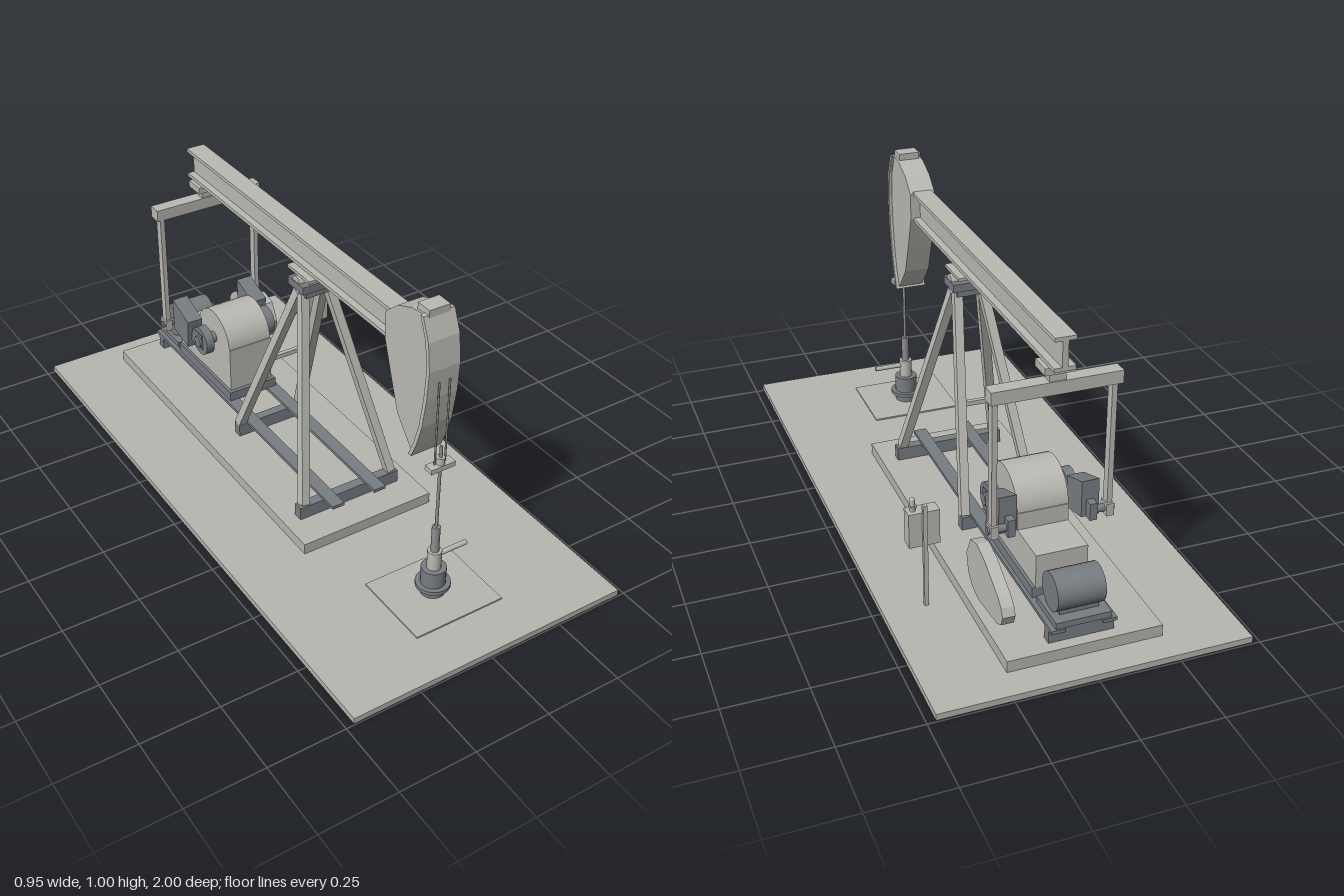
import * as THREE from 'three';

const mat = (name, color) => {
  const m = new THREE.MeshStandardMaterial({ color });
  m.name = name;
  return m;
};

export function createModel() {
  const model = new THREE.Group();
  model.name = 'pumpJack';
  const concrete = mat('concrete', 0xb7b5b0);
  const steel = mat('lightSteel', 0xbab9b3);
  const dark = mat('darkSteel', 0x787d82);
  const rodSteel = mat('rodSteel', 0x8c8d8c);

  const add = (name, geo, m) => {
    const mesh = new THREE.Mesh(geo, m);
    mesh.name = name;
    model.add(mesh);
    return mesh;
  };
  // box given by its limits on each axis
  const box = (name, m, x0, x1, y0, y1, z0, z1) => {
    const b = add(name, new THREE.BoxGeometry(x1 - x0, y1 - y0, z1 - z0), m);
    b.position.set((x0 + x1) / 2, (y0 + y1) / 2, (z0 + z1) / 2);
    return b;
  };
  // square bar between two points, tilted from upright without twisting
  const bar = (name, m, a, b, w) => {
    const p = new THREE.Vector3(...a), q = new THREE.Vector3(...b);
    const s = add(name, new THREE.BoxGeometry(w, p.distanceTo(q), w), m);
    s.position.copy(p).lerp(q, 0.5);
    s.quaternion.setFromUnitVectors(new THREE.Vector3(0, 1, 0), q.sub(p).normalize());
  };
  // upright cylinder
  const cylY = (name, m, r, y0, y1, x, z, n = 20) => {
    const c = add(name, new THREE.CylinderGeometry(r, r, y1 - y0, n), m);
    c.position.set(x, (y0 + y1) / 2, z);
  };
  // cylinder lying along x
  const cylX = (name, m, r, x0, x1, y, z, n = 24) => {
    const c = add(name, new THREE.CylinderGeometry(r, r, Math.abs(x1 - x0), n), m);
    c.rotation.z = Math.PI / 2;
    c.position.set((x0 + x1) / 2, y, z);
  };
  // side profile of [z, y] points, extruded across x
  const profile = (name, m, pts, x0, x1) => {
    const shape = new THREE.Shape(pts.map(p => new THREE.Vector2(...p)));
    const geo = new THREE.ExtrudeGeometry(shape, { depth: x1 - x0, bevelEnabled: false });
    add(name, geo.translate(0, 0, -x1).rotateY(-Math.PI / 2), m);
  };

  // ground pads
  box('groundPad', concrete, -0.475, 0.475, 0.005, 0.025, -1, 1);
  box('wellPad', concrete, -0.155, 0.155, 0, 0.03, 0.58, 0.845);
  box('foundation', concrete, -0.237, 0.237, 0.025, 0.062, -0.905, 0.365);

  // skid
  box('frontCrossBeam', dark, -0.185, 0.185, 0.062, 0.106, 0.225, 0.258);
  box('middleCrossBeam', dark, -0.13, 0.13, 0.062, 0.106, -0.253, -0.222);
  box('rearCrossBeam', dark, -0.1, 0.1, 0.062, 0.106, -0.87, -0.84);

  // walking beam
  box('beamWeb', steel, -0.009, 0.009, 0.82, 0.905, -0.705, 0.49);
  box('beamTopFlange', steel, -0.032, 0.032, 0.902, 0.914, -0.705, 0.49);
  box('beamBottomFlange', steel, -0.032, 0.032, 0.812, 0.824, -0.705, 0.49);

  // horsehead with its wider curved face
  const arc = [[0.637, 0.51], [0.66, 0.565], [0.68, 0.635], [0.695, 0.735],
    [0.701, 0.83], [0.69, 0.92], [0.662, 0.988]];
  profile('horsehead', steel, [[0.477, 0.82], [0.515, 0.705], [0.55, 0.605], [0.6, 0.545],
    ...arc.map(([z, y]) => [z - 0.004, y]), [0.595, 0.98], [0.53, 0.953], [0.477, 0.908]], -0.042, 0.042);
  profile('horseheadFace', steel,
    [...arc, ...arc.map(([z, y]) => [z - 0.014, y]).reverse()], -0.052, 0.052);
  box('horseheadCap', steel, -0.035, 0.035, 0.975, 1.004, 0.612, 0.665);

  // saddle bearing on top of the tower
  box('saddlePlate', steel, -0.055, 0.055, 0.802, 0.812, -0.025, 0.1);
  box('towerCap', dark, -0.05, 0.05, 0.738, 0.758, 0, 0.076);
  box('bearingBlock', dark, -0.065, 0.065, 0.758, 0.784, -0.006, 0.082);
  cylX('saddleShaft', steel, 0.02, -0.063, 0.063, 0.783, 0.038);

  // hanger, polished rod and wellhead
  const wz = 0.707;
  box('carrierBar', steel, -0.042, 0.042, 0.494, 0.51, wz - 0.016, wz + 0.016);
  cylY('rodClamp', steel, 0.013, 0.51, 0.532, 0, wz);
  cylY('polishedRod', rodSteel, 0.005, 0.18, 0.57, 0, wz, 12);
  cylY('rodSleeve', rodSteel, 0.013, 0.18, 0.278, 0, wz);
  cylY('stuffingBox', steel, 0.022, 0.12, 0.187, 0, wz);
  cylY('casingHead', dark, 0.039, 0.03, 0.124, 0, wz);
  cylY('casingFlange', dark, 0.054, 0.055, 0.068, 0, wz);
  cylX('flowLine', steel, 0.008, 0, 0.115, 0.166, wz, 14);

  // gearbox
  box('gearboxBase', dark, -0.09, 0.09, 0.112, 0.148, -0.725, -0.352);
  box('gearboxBody', steel, -0.08, 0.08, 0.148, 0.31, -0.585, -0.365);
  box('gearboxRear', steel, -0.08, 0.08, 0.148, 0.255, -0.725, -0.585);
  cylX('gearboxDrum', steel, 0.108, -0.08, 0.08, 0.303, -0.475, 32);
  cylX('crankShaft', dark, 0.02, -0.145, 0.145, 0.31, -0.475);

  // motor and belt guard
  box('motorBase', dark, -0.085, 0.085, 0.115, 0.135, -0.885, -0.745);
  box('motorFoot', dark, -0.06, 0.06, 0.135, 0.165, -0.85, -0.78);
  cylX('motor', dark, 0.058, -0.073, 0.073, 0.192, -0.812, 28);
  profile('beltGuard', steel, [[-0.61, 0.275], [-0.66, 0.29], [-0.72, 0.275], [-0.825, 0.222],
    [-0.85, 0.2], [-0.862, 0.175], [-0.85, 0.145], [-0.82, 0.13], [-0.675, 0.112],
    [-0.625, 0.125], [-0.592, 0.155], [-0.578, 0.212]], 0.196, 0.234);

  // equalizer
  box('equalizer', steel, -0.196, 0.196, 0.722, 0.762, -0.665, -0.62);
  box('equalizerBearing', steel, -0.025, 0.025, 0.762, 0.795, -0.66, -0.625);
  box('equalizerPlate', steel, -0.045, 0.045, 0.79, 0.812, -0.675, -0.605);

  // parts mirrored left and right
  for (const s of [-1, 1]) {
    const span = (a, b) => (s > 0 ? [a, b] : [-b, -a]);
    box('skidRail', dark, ...span(0.057, 0.1), 0.104, 0.115, -0.89, 0.312);
    bar('frontLeg', steel, [s * 0.163, 0.106, 0.242], [s * 0.045, 0.742, 0.05], 0.028);
    bar('rearLeg', steel, [s * 0.117, 0.106, -0.238], [s * 0.042, 0.742, 0.025], 0.028);
    cylY('bridleCable', rodSteel, 0.003, 0.51, 0.79, s * 0.018, wz - 0.003, 8);

    cylX('shaftHub', dark, 0.05, s * 0.105, s * 0.135, 0.31, -0.475);
    box('crankArm', dark, ...span(0.115, 0.138), 0.285, 0.34, -0.655, -0.455);
    profile('counterweight', dark,
      [[-0.52, 0.365], [-0.626, 0.403], [-0.628, 0.285], [-0.53, 0.262]], ...span(0.1, 0.155));
    cylX('wristPin', dark, 0.012, s * 0.13, s * 0.195, 0.31, -0.637, 16);
    box('pitmanLowerBearing', steel, ...span(0.166, 0.19), 0.29, 0.33, -0.657, -0.617);
    box('pitmanArm', steel, ...span(0.17, 0.186), 0.325, 0.725, -0.65, -0.622);
  }
  box('towerBrace', steel, -0.09, 0.09, 0.418, 0.433, -0.114, -0.1);

  // control box on its post
  box('controlPost', steel, 0.336, 0.349, 0.025, 0.366, -0.538, -0.525);
  box('controlBox', steel, 0.295, 0.389, 0.226, 0.338, -0.526, -0.482);
  cylY('lampBase', steel, 0.012, 0.35, 0.356, 0.37, -0.505, 14);
  cylY('lampNeck', steel, 0.008, 0.338, 0.374, 0.37, -0.505, 14);
  const lamp = add('lampDome', new THREE.SphereGeometry(0.008, 14, 8), steel);
  lamp.position.set(0.37, 0.374, -0.505);

  return model;
}
